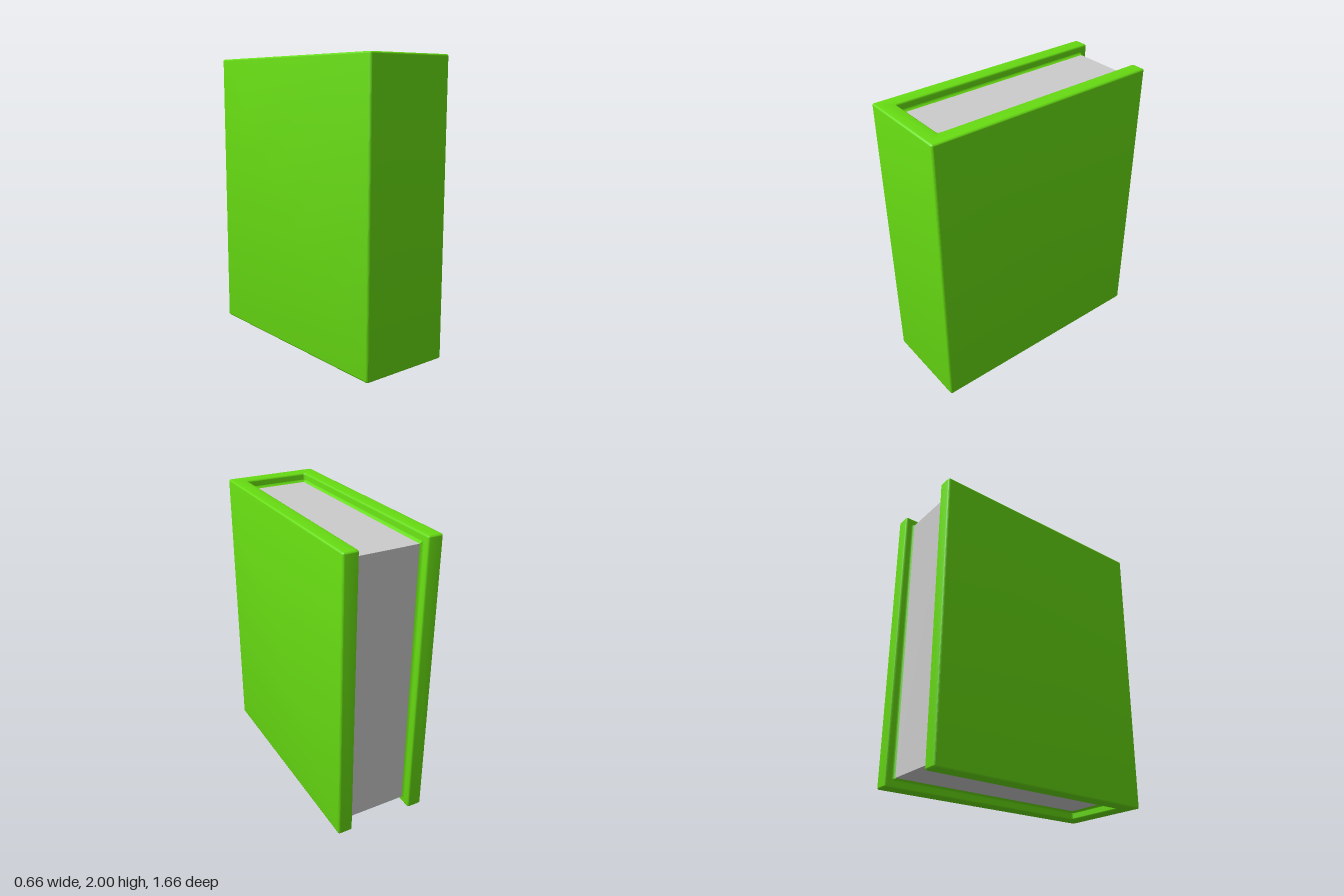
import * as THREE from 'three';
import { toCreasedNormals } from 'three/addons/utils/BufferGeometryUtils.js';

const H = 2, W = 0.33, D = 0.83;          // height, half width, half depth
const INNER = 0.225, SPINE = 0.72;        // inside faces of the boards and the spine
const BACK = -0.77, INSET = 0.06;         // page block set back from the cover edges
const BEVEL = 0.012, FILLET = 0.015;

const green = new THREE.MeshStandardMaterial({ color: 0x67dc12 });
const grey = new THREE.MeshStandardMaterial({ color: 0xcccccc });

// Closed outline with every corner rounded by r
function roundedShape(points, r) {
  const pts = points.map(([x, y]) => new THREE.Vector2(x, y));
  const shape = new THREE.Shape();
  pts.forEach((p, i) => {
    const prev = pts[(i + pts.length - 1) % pts.length];
    const next = pts[(i + 1) % pts.length];
    const a = p.clone().add(prev.clone().sub(p).setLength(r));
    const b = p.clone().add(next.clone().sub(p).setLength(r));
    if (i === 0) shape.moveTo(a.x, a.y);
    else shape.lineTo(a.x, a.y);
    shape.quadraticCurveTo(p.x, p.y, b.x, b.y);
  });
  shape.closePath();
  return shape;
}

// Boards and spine as one U-shaped, softly bevelled extrusion
function makeCover() {
  const outline = roundedShape([
    [-W, -D], [W, -D], [W, D], [INNER, D],
    [INNER, -SPINE], [-INNER, -SPINE], [-INNER, D], [-W, D],
  ], 0.016);
  const geo = new THREE.ExtrudeGeometry(outline, {
    depth: H - 2 * BEVEL, curveSegments: 4,
    bevelSize: BEVEL, bevelThickness: BEVEL, bevelOffset: -BEVEL, bevelSegments: 3,
  });
  geo.translate(0, 0, BEVEL).rotateX(-Math.PI / 2);
  const mesh = new THREE.Mesh(toCreasedNormals(geo, 0.6), green);
  mesh.name = 'cover';
  return mesh;
}

// Concave strip in the corner between two faces; u and v point away from the corner
function makeFillet(name, start, end, u, v) {
  const shape = new THREE.Shape();
  shape.moveTo(0, 0);
  shape.lineTo(FILLET, 0);
  shape.quadraticCurveTo(FILLET * 0.25, FILLET * 0.25, 0, FILLET);
  shape.closePath();
  const U = new THREE.Vector3(...u), V = new THREE.Vector3(...v);
  const dir = U.clone().cross(V);
  let from = new THREE.Vector3(...start);
  const to = new THREE.Vector3(...end);
  const length = from.distanceTo(to);
  if (to.clone().sub(from).dot(dir) < 0) from = to;
  const geo = new THREE.ExtrudeGeometry(shape, { depth: length, bevelEnabled: false, curveSegments: 4 });
  geo.applyMatrix4(new THREE.Matrix4().makeBasis(U, V, dir).setPosition(from));
  const mesh = new THREE.Mesh(toCreasedNormals(geo, 0.6), green);
  mesh.name = name;
  return mesh;
}

export function createModel() {
  const book = new THREE.Group();
  book.name = 'book';
  book.add(makeCover());

  // Page block
  const pages = new THREE.Mesh(new THREE.BoxGeometry(2 * INNER, H - 2 * INSET, SPINE - BACK), grey);
  pages.position.set(0, H / 2, (SPINE + BACK) / 2);
  pages.name = 'pages';
  book.add(pages);

  // Rounded joints between the pages and the cover
  const joints = new THREE.Group();
  joints.name = 'pageJoints';
  for (const [y, up] of [[H - INSET, 1], [INSET, -1]]) {
    for (const s of [-1, 1]) {
      joints.add(makeFillet('sideJoint', [s * INNER, y, BACK - 0.005], [s * INNER, y, SPINE], [-s, 0, 0], [0, up, 0]));
    }
    joints.add(makeFillet('spineJoint', [-INNER, y, SPINE], [INNER, y, SPINE], [0, 0, -1], [0, up, 0]));
  }
  for (const s of [-1, 1]) {
    joints.add(makeFillet('backJoint', [s * INNER, INSET - 0.005, BACK], [s * INNER, H - INSET + 0.005, BACK], [-s, 0, 0], [0, 0, -1]));
  }
  book.add(joints);
  return book;
}
